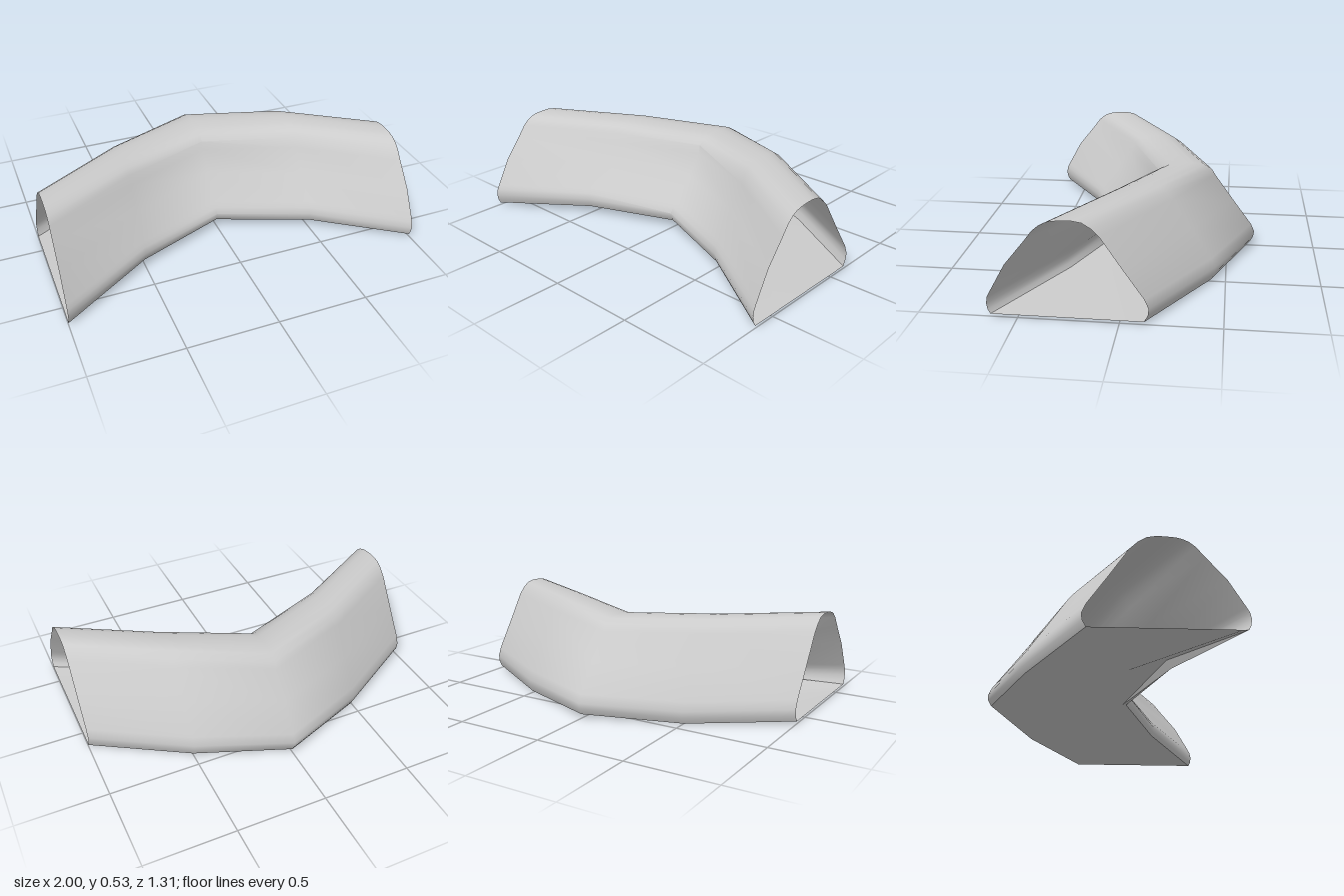
import * as THREE from 'three';
import { toCreasedNormals } from 'three/addons/utils/BufferGeometryUtils.js';

// Cross-section as [across, height, pinch weight]: up the front wall, over the crown, down the back
const PROFILE = [
  [0.955, 0], [0.985, 0.045], [1, 0.11], [0.985, 0.18, -0.25], [0.95, 0.235, -0.45],
  [0.745, 0.53, -1], [0.49, 0.78, -0.6], [0.385, 0.89], [0.30, 0.946], [0.22, 0.975],
  [0.146, 0.99], [0, 1], [-0.1, 1], [-0.21, 0.985, -0.3], [-0.32, 0.93, -0.3],
  [-0.415, 0.855], [-0.68, 0.54], [-0.945, 0.235], [-0.995, 0.14], [-0.985, 0.07], [-0.94, 0],
];

// Stations along the bend; step and arch raise the floor behind its front edge and at its middle
const END = { cz: 0.255, half: 0.398, top: 0.521, front: 0.015, back: 0.015, pinch: 0, step: 0, arch: 0 };
const STATIONS = [
  { ...END, x: -1 },
  { x: -0.5, cz: -0.047, half: 0.398, top: 0.508, front: 0.045, back: 0, pinch: 0.08, step: 0.05, arch: 0 },
  { x: 0, cz: -0.251, half: 0.406, top: 0.497, front: 0.045, back: 0.024, pinch: 0.14, step: 0, arch: 0.01 },
  { x: 0.5, cz: -0.047, half: 0.398, top: 0.532, front: 0.045, back: 0.01, pinch: 0.08, step: 0, arch: 0 },
  { ...END, x: 1 },
];

function section(s) {
  const floorAt = (u) => THREE.MathUtils.lerp(s.back, s.front, (u + 1) / 2);
  const wall = PROFILE.map(([u, v, weight = 0]) => [
    s.x,
    THREE.MathUtils.lerp(floorAt(u), s.top, v),
    s.cz + (u + weight * s.pinch) * s.half,
  ]);
  const floor = [[0.4, s.arch], [0.9, s.step]].map(([u, lift]) => [s.x, floorAt(u) + lift, s.cz + u * s.half]);
  return [...wall, ...floor];
}

function loft(sections) {
  const index = [];
  const n = sections[0].length;
  for (let i = 0; i < sections.length - 1; i++) {
    for (let j = 0; j < n; j++) {
      const k = (j + 1) % n;
      const a = i * n + j, b = a + n, c = i * n + k, d = c + n;
      index.push(a, b, c, b, d, c);
    }
  }
  const geometry = new THREE.BufferGeometry();
  geometry.setAttribute('position', new THREE.Float32BufferAttribute(sections.flat(2), 3));
  geometry.setIndex(index);
  return toCreasedNormals(geometry, 0.95);
}

export function createModel() {
  const group = new THREE.Group();
  group.name = 'bentTunnel';

  // Thin open-ended shell with its floor
  const shell = new THREE.Mesh(
    loft(STATIONS.map(section)),
    new THREE.MeshStandardMaterial({ color: 0xcccccc, side: THREE.DoubleSide }),
  );
  shell.name = 'tunnelShell';
  group.add(shell);
  return group;
}
